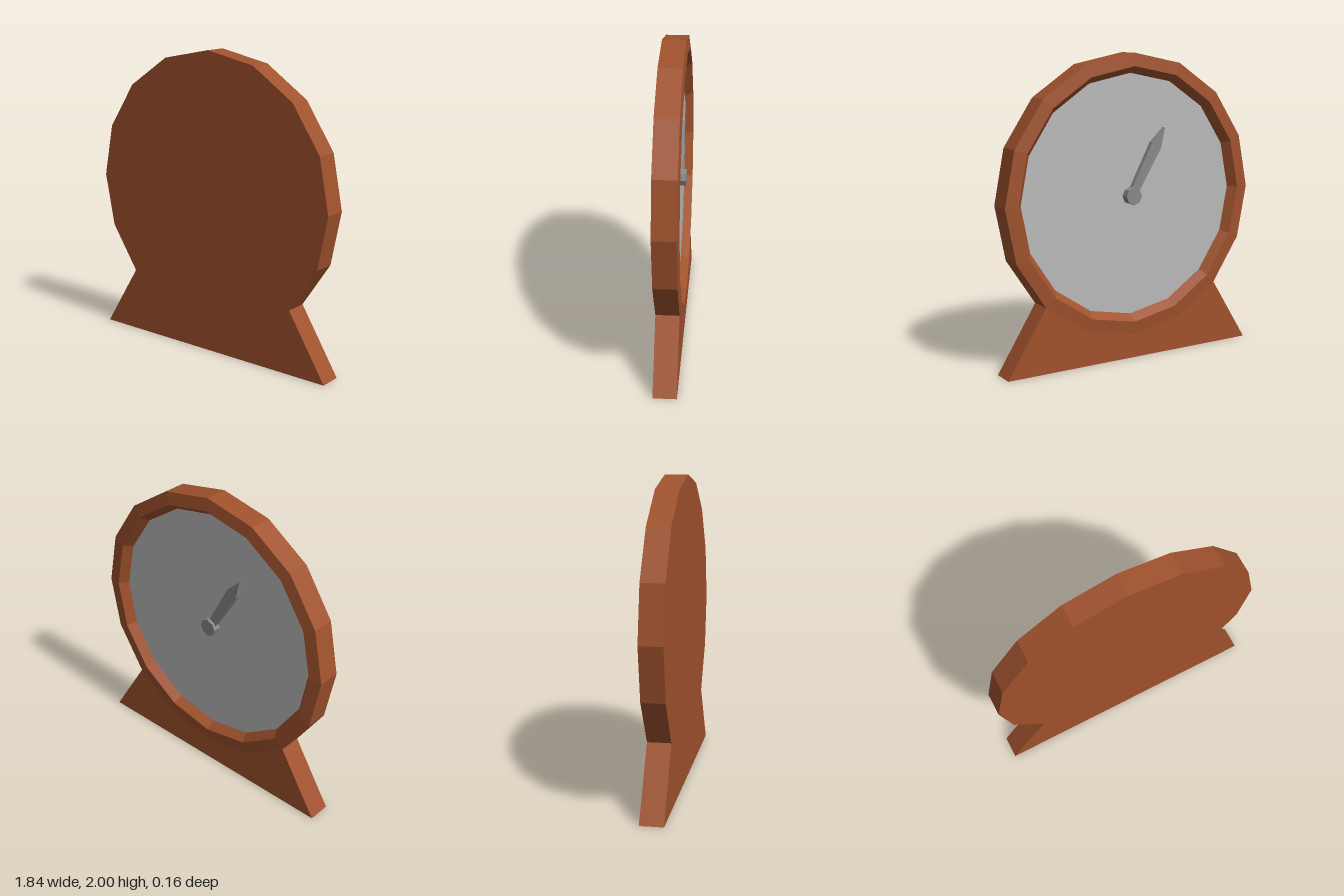
import * as THREE from 'three';

const SIDES = 16, RADIUS = 0.92, CENTER_Y = 1.08;

// Facet every polygon
function faceted(geometry) {
  const g = geometry.index ? geometry.toNonIndexed() : geometry;
  g.computeVertexNormals();
  return g;
}

function ringPoint(i, r) {
  const a = (i / SIDES) * Math.PI * 2;
  return new THREE.Vector2(Math.cos(a) * r, CENTER_Y + Math.sin(a) * r);
}

// Round case outline standing on a flared foot
function caseShape(holeRadius) {
  const points = [];
  for (let i = -2; i <= 10; i++) points.push(ringPoint(i, RADIUS));
  points.push(new THREE.Vector2(-0.92, 0), new THREE.Vector2(0.92, 0));
  const shape = new THREE.Shape(points);
  if (holeRadius) {
    const hole = [];
    for (let i = 0; i < SIDES; i++) hole.push(ringPoint(-i, holeRadius));
    shape.holes.push(new THREE.Path(hole));
  }
  return shape;
}

function slab(shape, z0, z1) {
  const g = new THREE.ExtrudeGeometry(shape, { depth: z1 - z0, bevelEnabled: false });
  g.translate(0, 0, z0);
  return faceted(g);
}

export function createModel() {
  const group = new THREE.Group();
  const wood = new THREE.MeshStandardMaterial({ color: 0xa0522d });
  wood.name = 'wood';
  const dialGray = new THREE.MeshStandardMaterial({ color: 0xbababa });
  dialGray.name = 'dialGray';
  const handGray = new THREE.MeshStandardMaterial({ color: 0x898989 });
  handGray.name = 'handGray';

  const add = (name, geometry, material) => {
    const mesh = new THREE.Mesh(geometry, material);
    mesh.name = name;
    group.add(mesh);
    return mesh;
  };

  // Solid plate, and the open layer around the recessed dial
  add('casePlate', slab(caseShape(0), -0.02, 0.08), wood);
  add('caseWall', slab(caseShape(0.86), -0.07, -0.02), wood);

  // Raised rim sloping inward to the dial
  const rim = new THREE.LatheGeometry([
    new THREE.Vector2(RADIUS, 0.07),
    new THREE.Vector2(0.835, 0.08),
    new THREE.Vector2(0.79, 0.02),
  ], SIDES);
  rim.rotateX(-Math.PI / 2);
  add('rim', faceted(rim), wood).position.y = CENTER_Y;

  // Dial
  const dial = new THREE.CircleGeometry(0.795, SIDES);
  dial.rotateY(Math.PI);
  add('dial', dial, dialGray).position.set(0, CENTER_Y, -0.022);

  // Pointed hand
  const blade = new THREE.Shape([
    new THREE.Vector2(-0.028, 0),
    new THREE.Vector2(0.028, 0),
    new THREE.Vector2(0.04, 0.37),
    new THREE.Vector2(0, 0.5),
    new THREE.Vector2(-0.04, 0.37),
  ]);
  const hand = add('hand', slab(blade, -0.055, -0.02), handGray);
  hand.position.y = CENTER_Y;
  hand.rotation.z = Math.PI / 6;

  // Hub
  const hub = new THREE.CylinderGeometry(0.058, 0.058, 0.055, 8);
  hub.rotateX(-Math.PI / 2);
  add('hub', faceted(hub), handGray).position.set(0, CENTER_Y, -0.0475);

  return group;
}
